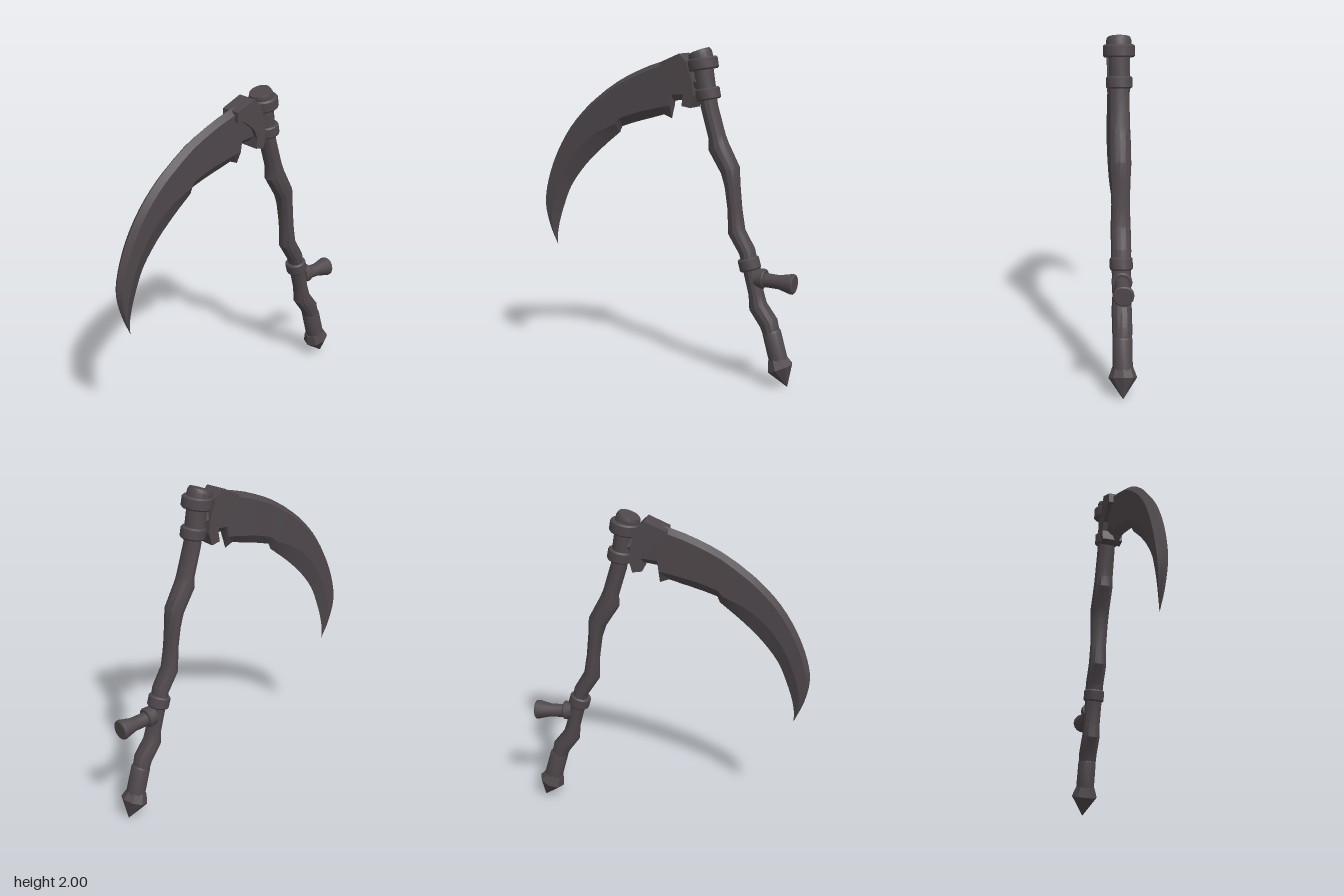
import * as THREE from 'three';
import { toCreasedNormals } from 'three/addons/utils/BufferGeometryUtils.js';

const iron = new THREE.MeshStandardMaterial({ color: 0x4f484c });
iron.name = 'dark iron';

function part(name, geometry, crease = 0.6) {
  const mesh = new THREE.Mesh(toCreasedNormals(geometry, crease), iron);
  mesh.name = name;
  return mesh;
}

// Skins a list of equal closed cross-sections and caps both ends.
function loft(sections) {
  const n = sections[0].length;
  const pos = sections.flat(2);
  const index = [];
  for (let i = 0; i < sections.length - 1; i++) {
    for (let j = 0; j < n; j++) {
      const a = i * n + j, b = i * n + (j + 1) % n;
      index.push(a, a + n, b, b, a + n, b + n);
    }
  }
  const last = (sections.length - 1) * n;
  for (let j = 1; j < n - 1; j++) {
    index.push(0, j, j + 1, last, last + j + 1, last + j);
  }
  const g = new THREE.BufferGeometry();
  g.setAttribute('position', new THREE.Float32BufferAttribute(pos, 3));
  g.setIndex(index);
  return g;
}

// Turned part from point a to point b; profile rows are [fraction along, radius].
function turned(name, a, b, profile, sides = 14) {
  const from = new THREE.Vector3(a[0], a[1], 0);
  const dir = new THREE.Vector3(b[0], b[1], 0).sub(from);
  const len = dir.length();
  const pts = [[profile[0][0], 0], ...profile];
  const end = profile[profile.length - 1];
  if (end[1] > 0) pts.push([end[0], 0]);
  const g = new THREE.LatheGeometry(pts.map(([t, r]) => new THREE.Vector2(r, t * len)), sides);
  const mesh = part(name, g);
  mesh.position.copy(from);
  mesh.quaternion.setFromUnitVectors(new THREE.Vector3(0, 1, 0), dir.normalize());
  return mesh;
}

const band = (r) => [[0, r - 0.008], [0.12, r], [0.88, r], [1, r - 0.008]];

// Crooked shaft: rows are [x, y, radius across, radius in depth], top to bottom.
function makeShaft() {
  const rows = [
    [0.285, 1.73, 0.052, 0.058], [0.30, 1.65, 0.05, 0.058], [0.35, 1.48, 0.05, 0.06],
    [0.36, 1.42, 0.064, 0.063], [0.44, 1.28, 0.058, 0.063], [0.455, 1.19, 0.045, 0.058],
    [0.472, 1.05, 0.042, 0.053], [0.485, 0.915, 0.052, 0.058], [0.555, 0.80, 0.048, 0.058],
    [0.585, 0.68, 0.046, 0.055], [0.617, 0.55, 0.045, 0.053], [0.63, 0.475, 0.056, 0.058],
    [0.70, 0.38, 0.057, 0.058], [0.725, 0.30, 0.048, 0.055],
  ];
  const sides = 12;
  const sections = rows.map(([x, y, r, rz], i) => {
    const p = rows[Math.max(i - 1, 0)], q = rows[Math.min(i + 1, rows.length - 1)];
    const l = Math.hypot(q[0] - p[0], q[1] - p[1]);
    const nx = (p[1] - q[1]) / l, ny = (q[0] - p[0]) / l;
    return Array.from({ length: sides }, (_, k) => {
      const a = k / sides * Math.PI * 2;
      return [x + nx * r * Math.cos(a), y + ny * r * Math.cos(a), -rz * Math.sin(a)];
    });
  });
  return part('shaft', loft(sections), 0.5);
}

// Curved blade: rows are [spine x, y, cutting edge x, y, half thickness, bevel start].
function makeBlade() {
  const root = [
    [0.15, 1.90, 0.17, 1.69, 0.038, 0.85], [0.062, 1.926, 0.062, 1.675, 0.038, 0.85],
    [0.055, 1.924, 0.051, 1.568, 0.038, 0.78], [-0.01, 1.91, -0.003, 1.59, 0.038, 0.85],
    [-0.095, 1.883, -0.07, 1.571, 0.038, 0.84], [-0.177, 1.85, -0.14, 1.552, 0.038, 0.82],
    [-0.25, 1.817, -0.217, 1.53, 0.038, 0.82], [-0.32, 1.78, -0.294, 1.504, 0.038, 0.82],
  ];
  const sweep = [
    [-0.41, 1.722, -0.31, 1.467, 0.038, 0.8], [-0.537, 1.622, -0.442, 1.36, 0.038, 0.66],
    [-0.67, 1.48, -0.564, 1.244, 0.038, 0.6], [-0.775, 1.31, -0.67, 1.106, 0.038, 0.6],
    [-0.844, 1.133, -0.727, 0.974, 0.036, 0.6], [-0.865, 1.005, -0.765, 0.857, 0.03, 0.6],
    [-0.839, 0.857, -0.78, 0.772, 0.018, 0.6], [-0.78, 0.714, -0.779, 0.714, 0.001, 0.6],
  ];
  // Smooth the sweep by running a curve through spine, edge and thickness
  const curve = (f) => new THREE.CatmullRomCurve3(sweep.map((r) => new THREE.Vector3(...f(r))));
  const spine = curve((r) => [r[0], r[1], r[4]]);
  const edge = curve((r) => [r[2], r[3], r[5]]);
  const steps = 21;
  const rows = [...root];
  for (let i = 0; i <= steps; i++) {
    const s = spine.getPoint(i / steps), e = edge.getPoint(i / steps);
    rows.push([s.x, s.y, e.x, e.y, s.z, e.z]);
  }
  const sections = rows.map(([ox, oy, ix, iy, h, bevel]) => {
    const at = (t, z) => [ox + (ix - ox) * t, oy + (iy - oy) * t, z];
    const shoulder = Math.min(0.3, 0.03 / (Math.hypot(ix - ox, iy - oy) + 0.001));
    return [at(0, 0), at(shoulder, h), at(bevel, h * 0.9), at(1, 0),
      at(bevel, -h * 0.9), at(shoulder, -h)];
  });
  return part('blade', loft(sections), 0.3);
}

// Crescent guard clasping the root of the blade
function makeGuard() {
  const outline = [
    [0, 1.905], [0.13, 1.96], [0.172, 1.918], [0.209, 1.822], [0.225, 1.716], [0.204, 1.642],
    [0.146, 1.652], [0.156, 1.716], [0.135, 1.769], [0.087, 1.812], [0.045, 1.843], [0, 1.843],
  ];
  const shape = new THREE.Shape(outline.map(([x, y]) => new THREE.Vector2(x, y)));
  const g = new THREE.ExtrudeGeometry(shape, { depth: 0.13, bevelEnabled: false });
  g.translate(0, 0, -0.065);
  return part('bladeGuard', g, 0.3);
}

export function createModel() {
  const group = new THREE.Group();
  group.name = 'scythe';
  group.add(
    makeShaft(),
    makeBlade(),
    makeGuard(),
    // Block that joins the guard to the head of the shaft
    turned('guardTang', [0.18, 1.80], [0.27, 1.79], [[0, 0.05], [1, 0.05]], 8),
    // Head of the shaft
    turned('topCap', [0.258, 1.90], [0.23, 1.975], [[0, 0.07], [0.75, 0.074], [1, 0.066]]),
    turned('upperCollar', [0.263, 1.865], [0.251, 1.937], band(0.092)),
    turned('neck', [0.278, 1.74], [0.26, 1.88], [[0, 0.062], [1, 0.059]]),
    turned('lowerCollar', [0.297, 1.69], [0.284, 1.76], band(0.075)),
    // Side grip
    turned('gripCollar', [0.58, 0.69], [0.56, 0.762], band(0.066)),
    turned('gripBase', [0.62, 0.648], [0.675, 0.645], [[0, 0.058], [0.85, 0.06], [1, 0.053]]),
    turned('sideGrip', [0.665, 0.64], [0.86, 0.632],
      [[0, 0.042], [0.5, 0.042], [0.9, 0.061], [0.97, 0.06], [1, 0.053]]),
    // Foot of the shaft
    turned('footSleeve', [0.77, 0.145], [0.717, 0.335], [[0, 0.058], [0.95, 0.057], [1, 0.052]]),
    turned('footSpike', [0.755, 0.17], [0.825, 0.002], [[0, 0.06], [0.33, 0.082], [1, 0]], 8),
  );
  return group;
}
